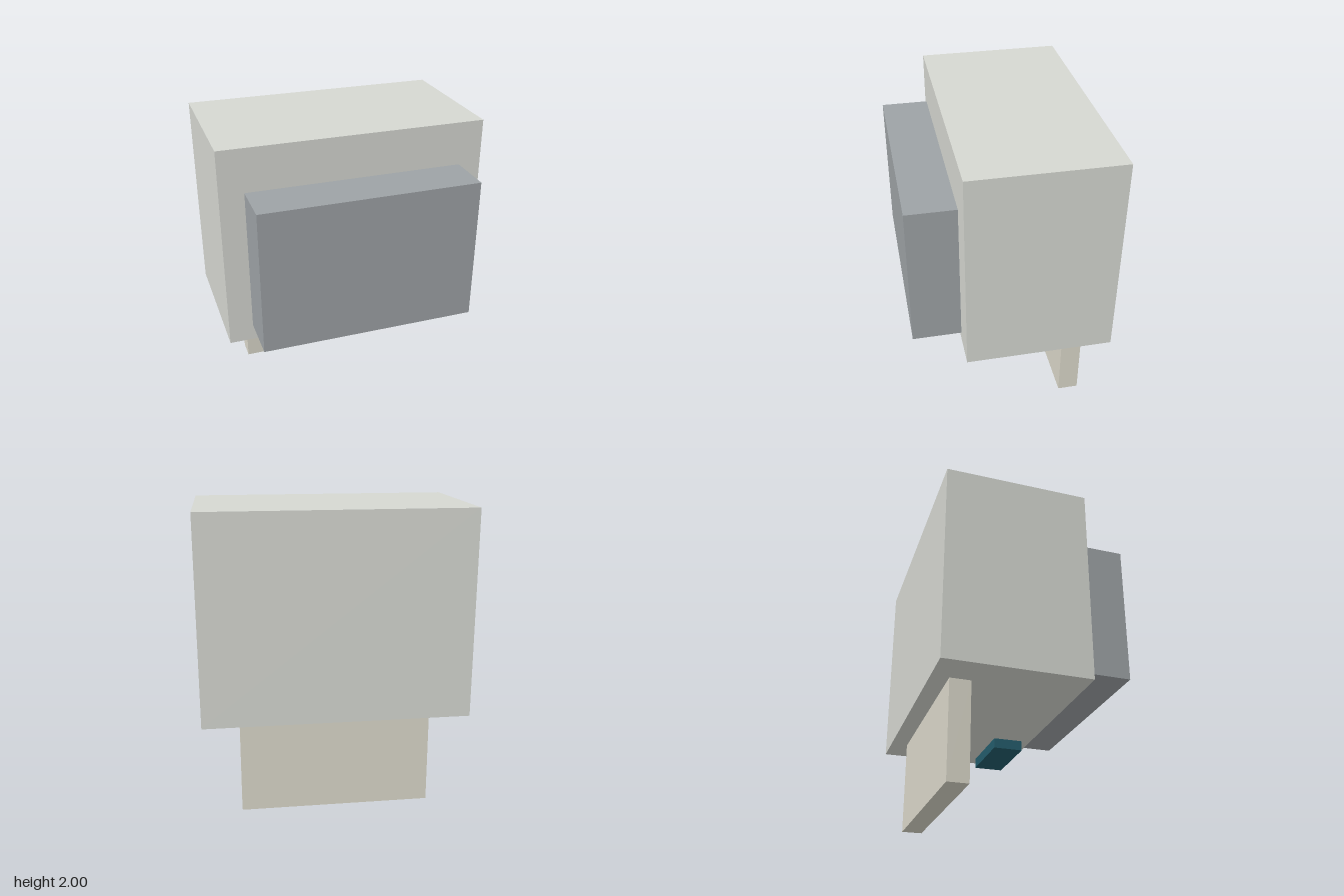
import * as THREE from 'three';

// Box given by its extents along each axis
function block(name, color, [x0, x1], [y0, y1], [z0, z1]) {
  const mesh = new THREE.Mesh(
    new THREE.BoxGeometry(x1 - x0, y1 - y0, z1 - z0),
    new THREE.MeshStandardMaterial({ color })
  );
  mesh.position.set((x0 + x1) / 2, (y0 + y1) / 2, (z0 + z1) / 2);
  mesh.name = name;
  return mesh;
}

export function createModel() {
  const model = new THREE.Group();
  model.name = 'boxOnStand';
  model.add(
    // Large main housing
    block('housing', 0xd5d7d1, [-0.87, 0.87], [0.645, 2], [-0.64, 0.316]),
    // Thick panel just clear of the housing's front
    block('frontPanel', 0x9da2a5, [-0.713, 0.713], [0.76, 1.717], [0.325, 0.64]),
    // Upright slab carrying the housing near its back
    block('standSlab', 0xdad7c9, [-0.628, 0.628], [0, 0.645], [-0.525, -0.387]),
    // Small tray hanging just below the housing, on the left
    block('underTray', 0x235c6b, [0.242, 0.728], [0.56, 0.63], [0.033, 0.24])
  );
  return model;
}
